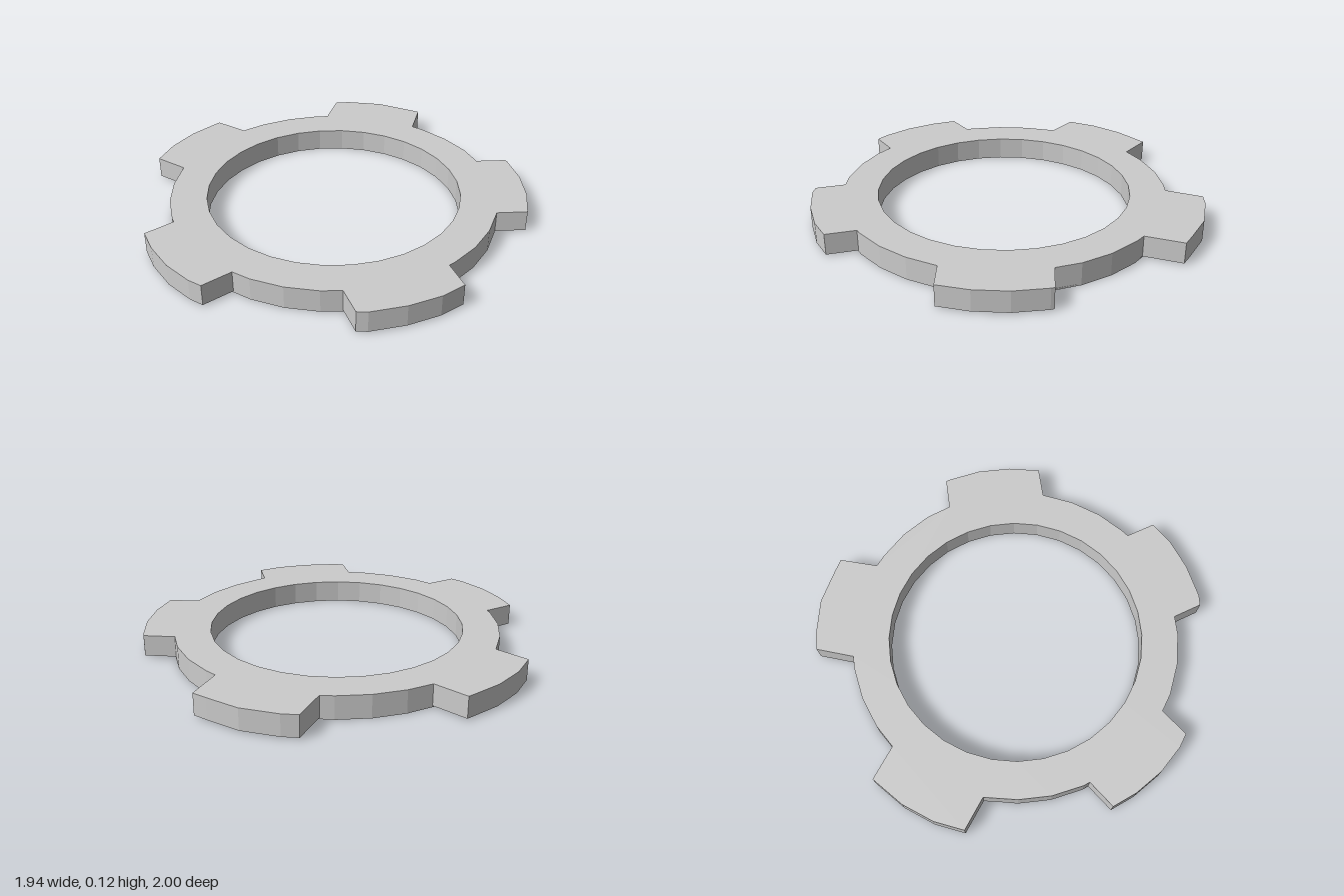
import * as THREE from 'three';

const CX = -0.023, CZ = 0.01;       // ring centre
const R_IN = 0.65, R_OUT = 0.836;   // ring radii
const SIDES = 32;
const LIP = 0.008, TOP = 0.117;     // tab underside and top heights

// Tab outlines as [x, z], counter-clockwise from above, from root to root
const TABS = [
  [[0.75, 0.33], [0.905, 0.34], [0.95, 0.185], [0.967, 0.015], [0.95, -0.155], [0.945, -0.173], [0.785, -0.185]],
  [[0.52, -0.625], [0.593, -0.808], [0.53, -0.85], [0.38, -0.943], [0.2, -0.993], [0.12, -1], [0.043, -0.822]],
  [[-0.46, -0.702], [-0.6, -0.822], [-0.75, -0.702], [-0.86, -0.57], [-0.932, -0.432], [-0.797, -0.315]],
  [[-0.833, 0.205], [-0.97, 0.287], [-0.93, 0.413], [-0.855, 0.558], [-0.757, 0.68], [-0.7, 0.727], [-0.562, 0.645]],
  [[-0.087, 0.84], [-0.052, 0.988], [0, 0.997], [0.175, 0.978], [0.335, 0.932], [0.45, 0.87], [0.415, 0.72]],
];

const material = new THREE.MeshStandardMaterial({ color: 0xcccccc, flatShading: true });
const TAU = Math.PI * 2, STEP = TAU / SIDES;
const onCircle = (r, a) => new THREE.Vector2(CX + r * Math.cos(a), -CZ + r * Math.sin(a));
const circle = (r) => Array.from({ length: SIDES }, (_, i) => onCircle(r, i * STEP));
const angleOf = ([x, z]) => Math.atan2(CZ - z, x - CX);

// Extrude an outline with the round bore upwards from y0 to y1
function slab(name, outline, y0, y1) {
  const shape = new THREE.Shape(outline);
  shape.holes.push(new THREE.Path(circle(R_IN)));
  const geometry = new THREE.ExtrudeGeometry(shape, { depth: y1 - y0, bevelEnabled: false });
  geometry.rotateX(-Math.PI / 2).translate(0, y0, 0);
  const mesh = new THREE.Mesh(geometry, material);
  mesh.name = name;
  return mesh;
}

// Tabs joined by faceted arcs of the ring
function tabbedOutline() {
  const points = [];
  TABS.forEach((tab, i) => {
    tab.forEach(([x, z]) => points.push(new THREE.Vector2(x, -z)));
    const from = angleOf(tab[tab.length - 1]);
    let to = angleOf(TABS[(i + 1) % TABS.length][0]);
    if (to < from) to += TAU;
    for (let k = Math.ceil((from + 0.03) / STEP); k * STEP < to - 0.03; k++) {
      points.push(onCircle(R_OUT, k * STEP));
    }
  });
  return points;
}

export function createModel() {
  const group = new THREE.Group();
  group.name = 'tabbedRing';
  group.add(slab('tabbedPlate', tabbedOutline(), LIP, TOP));
  group.add(slab('bottomLip', circle(R_OUT), 0, LIP));
  return group;
}
